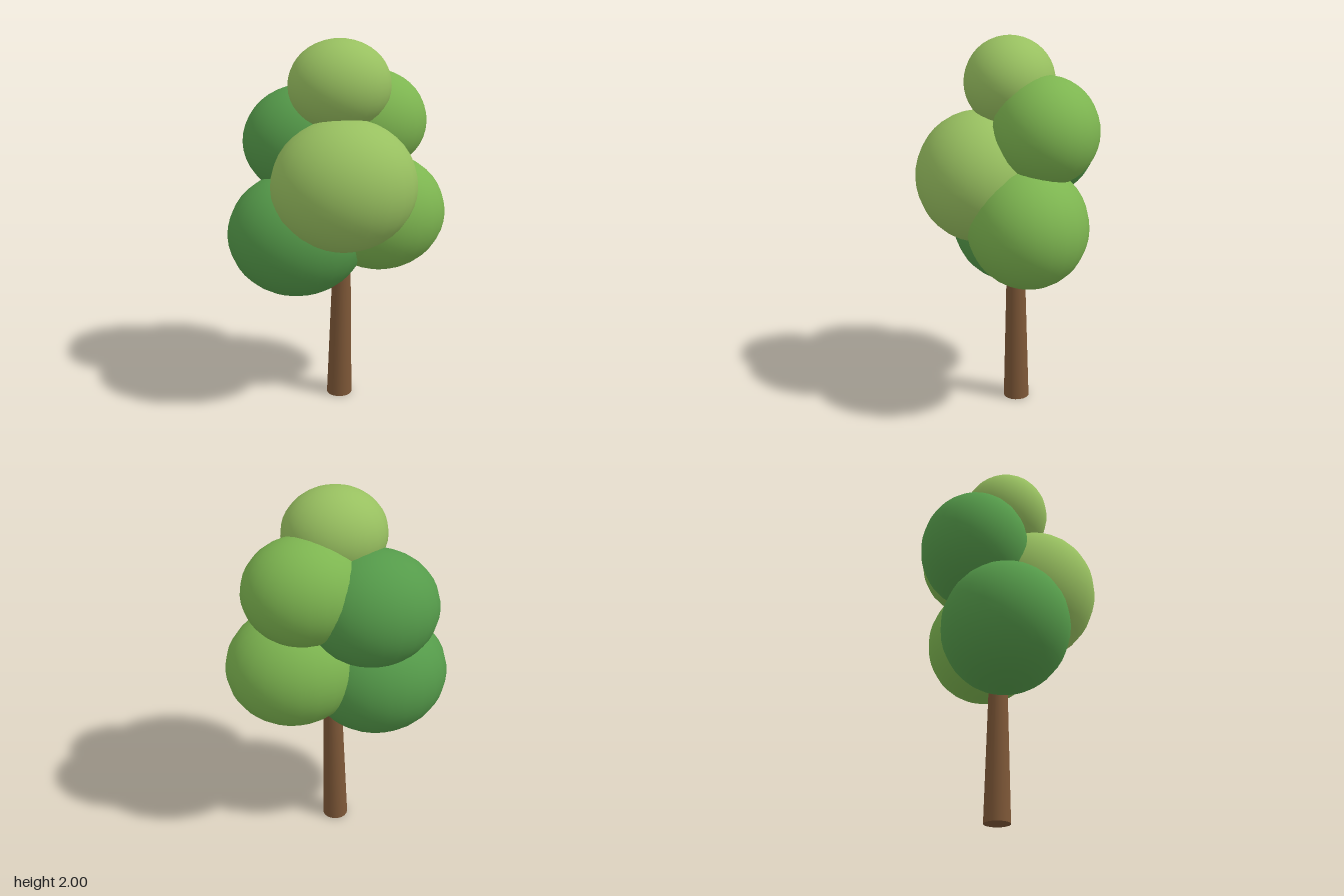
import * as THREE from 'three';

export function createModel() {
  const tree = new THREE.Group();
  tree.name = 'tree';

  const material = (color) => new THREE.MeshStandardMaterial({ color });
  const dark = material(0x559b4a);
  const mid = material(0x7db550);
  const light = material(0x98c060);

  // Trunk: tapered and leaning slightly, its top hidden in the foliage
  const height = 1.0;
  const trunkGeometry = new THREE.CylinderGeometry(0.043, 0.07, height, 18);
  trunkGeometry.translate(0, height / 2, 0);
  const lean = new THREE.Matrix4().makeShear(0, 0, 0.016, 0, 0, 0);
  lean.elements[4] = 0.016; // x shifts with height
  lean.elements[6] = 0.007; // z shifts with height
  lean.elements[1] = lean.elements[2] = lean.elements[8] = lean.elements[9] = 0;
  trunkGeometry.applyMatrix4(lean);
  const trunk = new THREE.Mesh(trunkGeometry, material(0x7d5737));
  trunk.name = 'trunk';
  trunk.position.set(0.01, 0, -0.045);
  tree.add(trunk);

  // Foliage: overlapping ellipsoids, [name, material, centre, radii]
  const clumps = [
    ['topFoliage', light, [0.007, 1.765, -0.008], [0.268, 0.235, 0.237]],
    ['frontFoliage', light, [0.01, 1.275, 0.15], [0.38, 0.345, 0.337]],
    ['backRightFoliage', dark, [-0.155, 1.435, -0.203], [0.336, 0.302, 0.287]],
    ['backLeftFoliage', mid, [0.19, 1.543, -0.173], [0.308, 0.277, 0.271]],
    ['lowerLeftFoliage', mid, [0.235, 1.06, -0.078], [0.355, 0.32, 0.313]],
    ['lowerRightFoliage', dark, [-0.217, 0.96, -0.047], [0.375, 0.339, 0.333]],
  ];
  const ball = new THREE.SphereGeometry(1, 24, 20);
  for (const [name, mat, centre, radii] of clumps) {
    const clump = new THREE.Mesh(ball, mat);
    clump.name = name;
    clump.position.set(...centre);
    clump.scale.set(...radii);
    tree.add(clump);
  }

  return tree;
}
